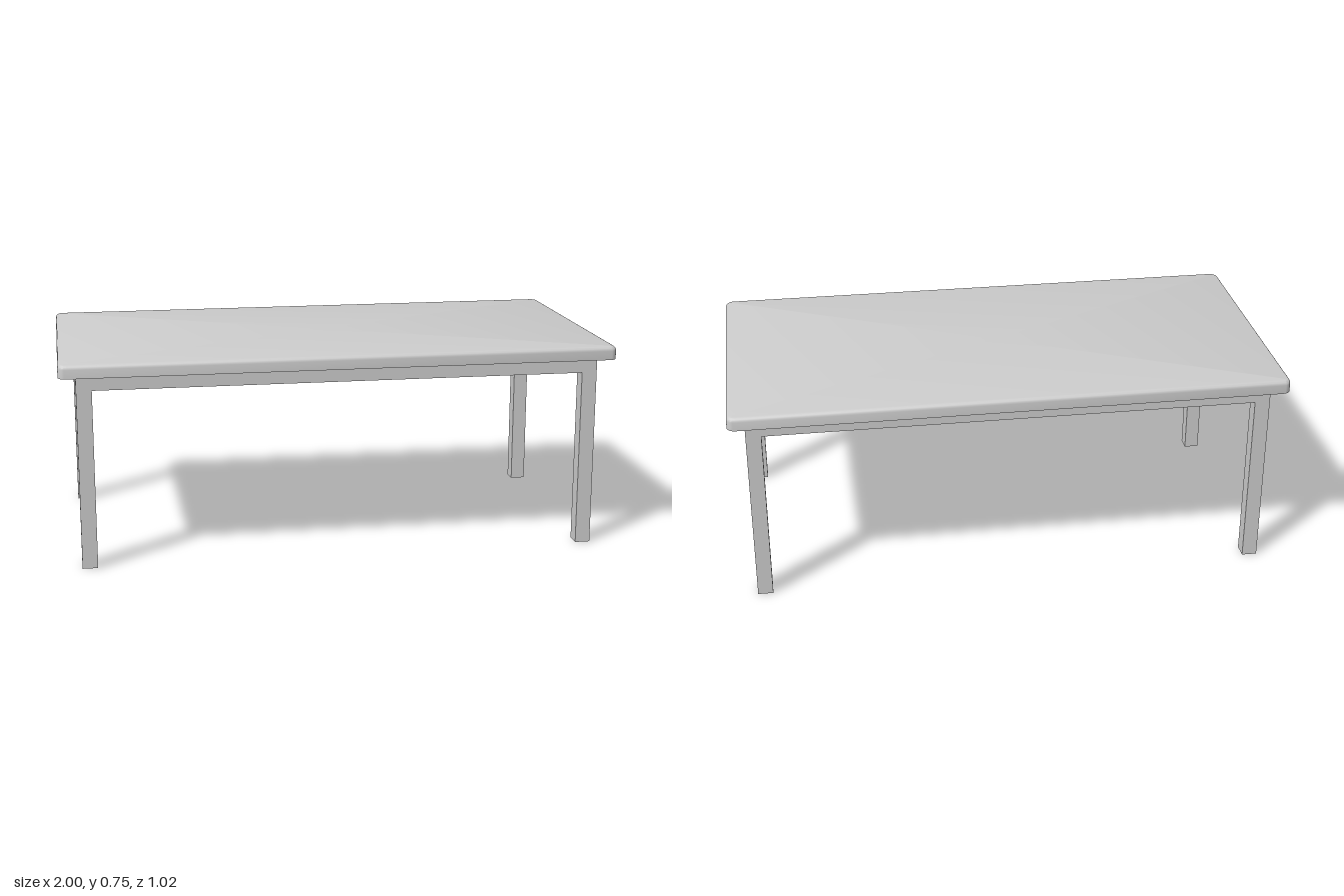
import * as THREE from 'three';
import { toCreasedNormals } from 'three/addons/utils/BufferGeometryUtils.js';

const grey = new THREE.MeshStandardMaterial({ color: 0xcccccc });

const HALF_X = 1, HALF_Z = 0.512;           // tabletop half extents
const TOP = 0.752, UNDER = 0.704;           // tabletop upper and lower faces
const BAR = 0.055;                          // square section of legs and rails
const LEG_X = 0.94 - BAR / 2, LEG_Z = 0.46 - BAR / 2;

// Outline of the tabletop with rounded corners, shrunk by an inset
function outline(inset, y, corner = 0.03, steps = 6) {
  const r = corner - inset;
  const points = [];
  [[1, 1], [-1, 1], [-1, -1], [1, -1]].forEach(([sx, sz], q) => {
    for (let i = 0; i <= steps; i++) {
      const a = (q + i / steps) * Math.PI / 2;
      points.push([
        sx * (HALF_X - corner) + r * Math.cos(a), y,
        sz * (HALF_Z - corner) + r * Math.sin(a),
      ]);
    }
  });
  return points;
}

// Slab with a sharp lower edge and a rounded upper edge
function tabletopGeometry() {
  const round = 0.016, arc = 5;
  const rings = [outline(0, UNDER)];
  for (let i = 0; i <= arc; i++) {
    const a = (i / arc) * Math.PI / 2;
    rings.push(outline(round * (1 - Math.cos(a)), TOP - round * (1 - Math.sin(a))));
  }
  const n = rings[0].length;
  const positions = rings.flat(2);
  const index = [];
  for (let k = 0; k < rings.length - 1; k++) {
    for (let i = 0; i < n; i++) {
      const j = (i + 1) % n;
      const a = k * n + i, b = k * n + j, c = a + n, d = b + n;
      index.push(a, c, b, b, c, d);
    }
  }
  // Flat caps as fans around a centre point
  const last = (rings.length - 1) * n;
  const low = positions.length / 3, high = low + 1;
  positions.push(0, UNDER, 0, 0, TOP, 0);
  for (let i = 0; i < n; i++) {
    const j = (i + 1) % n;
    index.push(low, i, j, high, last + j, last + i);
  }
  const geometry = new THREE.BufferGeometry();
  geometry.setAttribute('position', new THREE.Float32BufferAttribute(positions, 3));
  geometry.setIndex(index);
  return toCreasedNormals(geometry, 0.6);
}

function box(name, w, h, d, x, y, z) {
  const mesh = new THREE.Mesh(new THREE.BoxGeometry(w, h, d), grey);
  mesh.name = name;
  mesh.position.set(x, y, z);
  return mesh;
}

export function createModel() {
  const table = new THREE.Group();
  table.name = 'table';

  const tabletop = new THREE.Mesh(tabletopGeometry(), grey);
  tabletop.name = 'tabletop';
  table.add(tabletop);

  // Four square legs
  for (const [sx, side] of [[1, 'Left'], [-1, 'Right']]) {
    for (const [sz, end] of [[1, 'front'], [-1, 'back']]) {
      table.add(box(`${end}${side}Leg`, BAR, UNDER, BAR, sx * LEG_X, UNDER / 2, sz * LEG_Z));
    }
  }

  // Rails between the legs, flush with their outer faces
  const railY = UNDER - BAR / 2;
  for (const s of [1, -1]) {
    table.add(box(s > 0 ? 'frontRail' : 'backRail', 2 * LEG_X - BAR, BAR, BAR, 0, railY, s * LEG_Z));
    table.add(box(s > 0 ? 'leftRail' : 'rightRail', BAR, BAR, 2 * LEG_Z - BAR, s * LEG_X, railY, 0));
  }

  return table;
}
